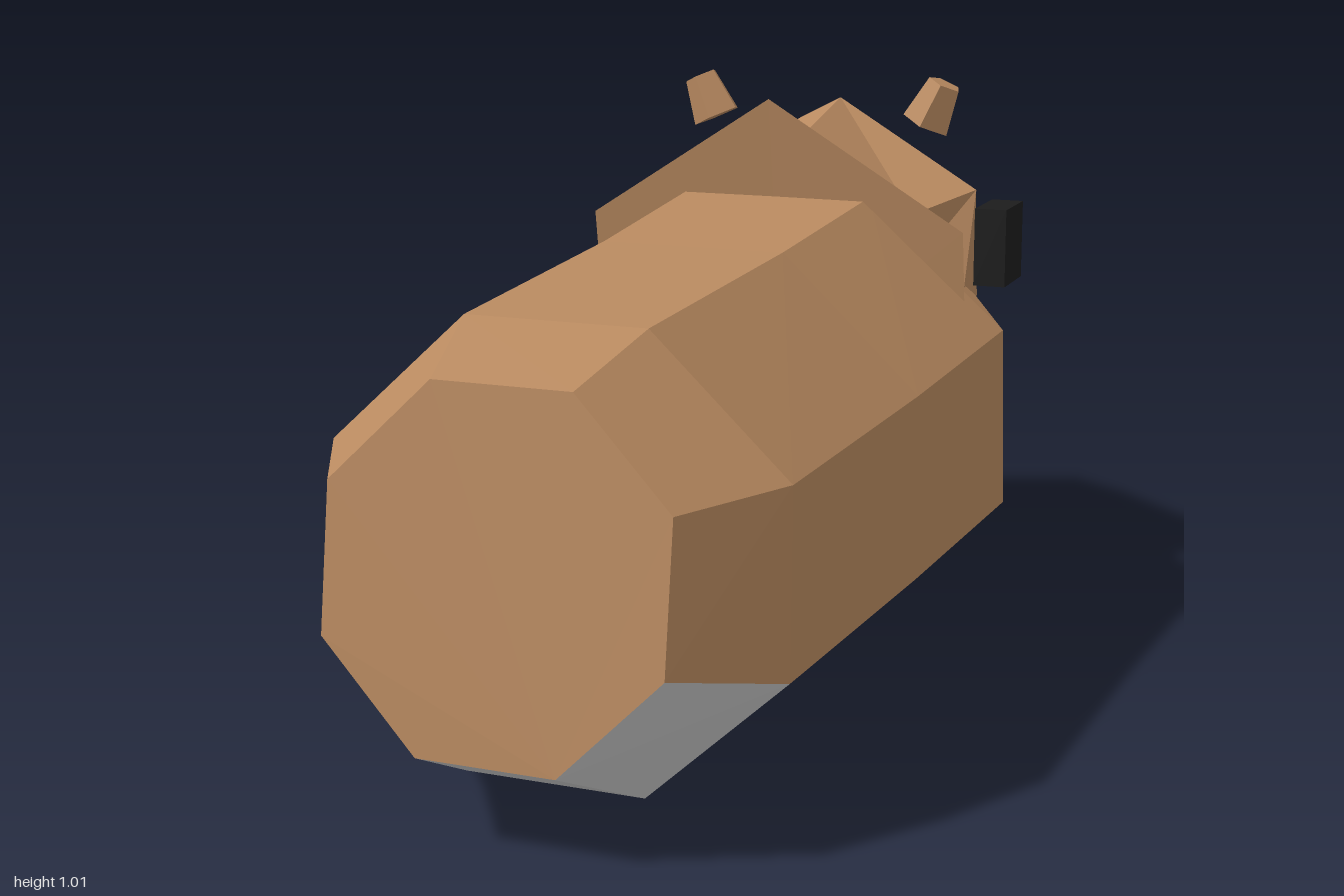
import * as THREE from 'three';

const mat = (color) => new THREE.MeshStandardMaterial({ color, flatShading: true });
const brown = mat(0xb98a60);
const grey = mat(0xcccccc);
const black = mat(0x1c1c1c);

// Skins a list of rings (counter-clockwise seen from +z, running towards -z).
function loft(rings, { sides, capStart = false, capEnd = false }) {
  const n = rings[0].length;
  const pos = [];
  const tri = (...pts) => pts.forEach((p) => pos.push(...p));
  for (let i = 0; i < rings.length - 1; i++) {
    for (const j of sides ?? rings[0].keys()) {
      const k = (j + 1) % n;
      const [a, b] = [rings[i], rings[i + 1]];
      tri(a[j], b[j], b[k]);
      tri(a[j], b[k], a[k]);
    }
  }
  for (let j = 1; j < n - 1; j++) {
    if (capStart) tri(rings[0][0], rings[0][j], rings[0][j + 1]);
    const e = rings[rings.length - 1];
    if (capEnd) tri(e[0], e[j + 1], e[j]);
  }
  const g = new THREE.BufferGeometry();
  g.setAttribute('position', new THREE.Float32BufferAttribute(pos, 3));
  g.computeVertexNormals();
  return g;
}

// Octagon: narrow and wide half-widths, then [y, z] of bottom, lower, upper, top.
function octagon(a, b, bottom, lower, upper, top) {
  const half = [[a, ...bottom], [b, ...lower], [b, ...upper], [a, ...top]];
  return [...half, ...half.map(([x, y, z]) => [-x, y, z]).reverse()];
}

// Hexagon with its points up and down: half-width, then [y, z] of each level.
function hexagon(w, bottom, lower, upper, top) {
  return [[0, ...bottom], [w, ...lower], [w, ...upper],
    [0, ...top], [-w, ...upper], [-w, ...lower]];
}

export function createModel() {
  const model = new THREE.Group();
  const add = (name, geometry, material) => {
    const mesh = new THREE.Mesh(geometry, material);
    mesh.name = name;
    model.add(mesh);
    return mesh;
  };

  // Body: octagonal barrel with a grey belly
  const bodyRings = [
    octagon(0.112, 0.272, [0.147, 1.0], [0.307, 0.98], [0.535, 0.945], [0.692, 0.92]),
    octagon(0.15, 0.377, [0.032, 0.77], [0.242, 0.76], [0.54, 0.75], [0.75, 0.74]),
    octagon(0.162, 0.4, [0.01, 0.2], [0.233, 0.2], [0.55, 0.2], [0.775, 0.2]),
    octagon(0.175, 0.424, [0, -0.315], [0.238, -0.295], [0.573, -0.26], [0.808, -0.23]),
    octagon(0.12, 0.3, [0.18, -0.605], [0.345, -0.57], [0.585, -0.52], [0.74, -0.49]),
  ];
  add('body', loft(bodyRings, { sides: [1, 2, 3, 4, 5], capStart: true, capEnd: true }), brown);
  add('belly', loft(bodyRings, { sides: [6, 7, 0] }), grey);

  // Head: flared collar, narrow neck, brow and tapering snout
  const collar = hexagon(0.361, [0.45, -0.25], [0.63, -0.22], [0.758, -0.2], [0.987, -0.17]);
  const neck = hexagon(0.21, [0.53, -0.43], [0.655, -0.405], [0.755, -0.39], [0.9, -0.36]);
  const brow = hexagon(0.3, [0.3, -0.32], [0.45, -0.375], [0.79, -0.515], [0.95, -0.585]);
  const snout = hexagon(0.24, [0.26, -0.63], [0.385, -0.67], [0.655, -0.74], [0.8, -0.79]);
  const muzzle = hexagon(0.19, [0.237, -0.83], [0.33, -0.875], [0.5, -0.955], [0.59, -0.99]);
  add('head', loft([collar, neck, brow, snout, muzzle], { capStart: true }), brown);

  // Nose: dark bevelled tip
  const noseTip = hexagon(0.15, [0.25, -0.905], [0.345, -0.932], [0.49, -0.973], [0.58, -1.0]);
  add('nose', loft([muzzle, noseTip], { capEnd: true }), black);

  // Eyes and ears, mirrored
  for (const [side, s] of [['left', 1], ['right', -1]]) {
    add(`${side}Eye`, new THREE.BoxGeometry(0.062, 0.15, 0.13), black)
      .position.set(0.332, 0.68, -0.57);
    const ear = add(`${side}Ear`, new THREE.CylinderGeometry(0.033, 0.049, 0.085, 5), brown);
    ear.position.set(s * 0.231, 0.957, -0.465);
    ear.rotation.z = -s * 0.42;
    model.getObjectByName(`${side}Eye`).position.x *= s;
  }
  return model;
}
